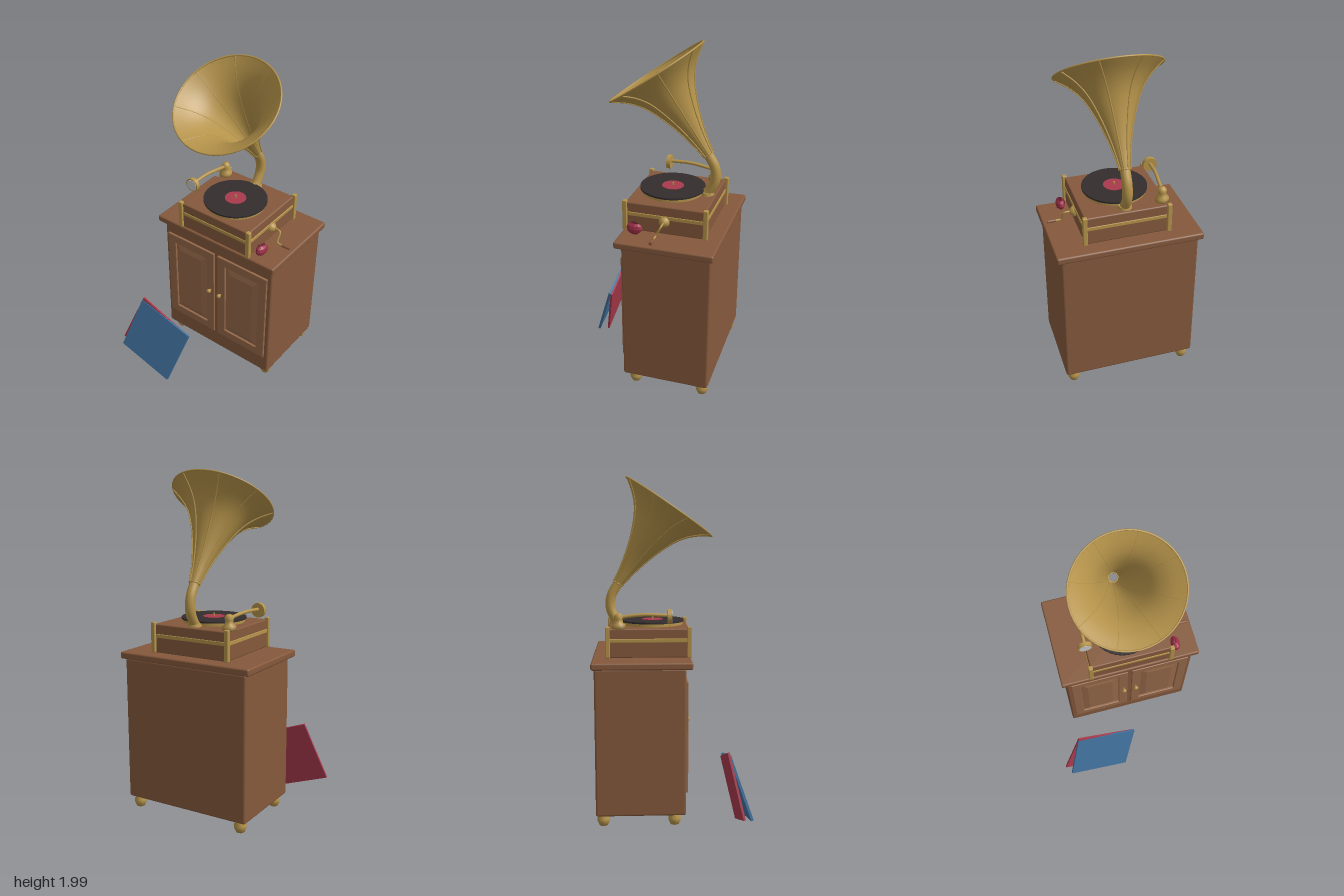
import * as THREE from 'three';
import { RoundedBoxGeometry } from 'three/addons/geometries/RoundedBoxGeometry.js';

const mat = (color, extra = {}) => new THREE.MeshStandardMaterial({ color, ...extra });
const V = (x, y, z) => new THREE.Vector3(x, y, z);
const CX = 0.05; // centre line of the cabinet

export function createModel() {
  const root = new THREE.Group();
  const wood = mat(0x85593c), doorWood = mat(0x96694a), gold = mat(0xb5934a);
  const brass = mat(0xb5934a, { side: THREE.DoubleSide });
  const black = mat(0x332d2e), red = mat(0xa83a4c), blue = mat(0x41709c), silver = mat(0xdddddd);
  const rose = mat(0x9c3048, { flatShading: true, side: THREE.DoubleSide });

  const add = (name, geo, material, x = 0, y = 0, z = 0, parent = root) => {
    const m = new THREE.Mesh(geo, material);
    m.name = name;
    m.position.set(x, y, z);
    parent.add(m);
    return m;
  };
  // box given by its minimum and maximum corners
  const box = (name, a, b, material, r = 0.008) => {
    const s = b.map((v, i) => v - a[i]), c = b.map((v, i) => (v + a[i]) / 2);
    return add(name, new RoundedBoxGeometry(s[0], s[1], s[2], 2, r), material, ...c);
  };
  const lathe = (pts, n = 24) => new THREE.LatheGeometry(pts.map(p => new THREE.Vector2(...p)), n);
  const tube = (pts, r, n = 24, sides = 12) =>
    new THREE.TubeGeometry(new THREE.CatmullRomCurve3(pts), n, r, sides);
  const rect = (P, w, h) => {
    const p = new P();
    p.moveTo(-w / 2, -h / 2); p.lineTo(w / 2, -h / 2); p.lineTo(w / 2, h / 2); p.lineTo(-w / 2, h / 2);
    p.closePath();
    return p;
  };

  // Cabinet
  box('cabinetBody', [-0.34, 0.12, -0.426], [0.44, 0.955, 0.077], wood, 0.012);
  box('cabinetTop', [-0.367, 0.952, -0.442], [0.465, 0.992, 0.112], wood, 0.01);
  const foot = lathe([[0, 0], [0.024, 0], [0.034, 0.022], [0.036, 0.04], [0.028, 0.056], [0.03, 0.066], [0, 0.066]]);
  for (const x of [-0.29, 0.39]) for (const z of [0.015, -0.385]) add('foot', foot, gold, x, 0.057, z);

  // Doors with frame, raised panel and knob
  for (const s of [-1, 1]) {
    const door = new THREE.Group();
    door.name = s < 0 ? 'rightDoor' : 'leftDoor';
    door.position.set(CX + s * 0.188, 0.56, 0);
    const frame = rect(THREE.Shape, 0.342, 0.62);
    frame.holes.push(rect(THREE.Path, 0.246, 0.524));
    add('doorFrame', new THREE.ExtrudeGeometry(frame, {
      depth: 0.016, bevelThickness: 0.004, bevelSize: 0.004, bevelSegments: 2
    }), doorWood, 0, 0, 0.07, door);
    add('doorPanel', new THREE.ExtrudeGeometry(rect(THREE.Shape, 0.155, 0.43), {
      depth: 0.005, bevelThickness: 0.012, bevelSize: 0.043, bevelSegments: 1
    }), doorWood, 0, 0, 0.072, door);
    const knob = add('doorKnob', lathe([[0, 0], [0.006, 0], [0.006, 0.012], [0.013, 0.018], [0.014, 0.026], [0.009, 0.032], [0, 0.034]], 16),
      gold, -s * 0.15, 0.027, 0.086, door);
    knob.rotation.x = Math.PI / 2;
    root.add(door);
  }

  // Player case with brass band and corner posts
  box('playerCase', [-0.188, 0.99, -0.352], [0.288, 1.155, 0.102], wood, 0.008);
  box('caseBand', [-0.192, 1.077, -0.356], [0.292, 1.099, 0.106], gold, 0.003);
  for (const x of [-0.188, 0.289]) for (const z of [-0.355, 0.103])
    box('cornerPost', [x - 0.013, 0.992, z - 0.013], [x + 0.013, 1.167, z + 0.013], gold, 0.005);

  // Turntable and record
  const disc = (name, r, y0, y1, m) =>
    add(name, new THREE.CylinderGeometry(r, r, y1 - y0, 48), m, CX, (y0 + y1) / 2, -0.1);
  disc('platter', 0.178, 1.15, 1.172, gold);
  disc('record', 0.185, 1.172, 1.182, black);
  disc('recordLabel', 0.062, 1.18, 1.184, red);
  disc('spindle', 0.006, 1.17, 1.2, gold);

  // Tone arm and sound box
  add('toneArmPivot', lathe([[0, 0], [0.038, 0], [0.038, 0.025], [0.024, 0.034], [0.022, 0.055], [0.026, 0.07], [0.016, 0.086], [0, 0.09]]),
    gold, -0.165, 1.152, -0.292);
  add('toneArm', tube([V(-0.165, 1.215, -0.292), V(-0.172, 1.226, -0.22), V(-0.184, 1.233, -0.13), V(-0.19, 1.229, -0.015)], 0.01),
    gold);
  const soundBox = new THREE.Group();
  soundBox.name = 'soundBox';
  soundBox.position.set(-0.19, 1.224, -0.008);
  soundBox.rotation.x = Math.PI / 2;
  add('soundBoxShell', new THREE.CylinderGeometry(0.041, 0.041, 0.024, 28), gold, 0, 0, 0, soundBox);
  add('diaphragm', new THREE.CylinderGeometry(0.034, 0.034, 0.004, 28), silver, 0, 0.012, 0, soundBox);
  add('needle', new THREE.CylinderGeometry(0.003, 0.001, 0.02, 8), gold, 0, 0, 0.046, soundBox).rotation.x = Math.PI / 2;
  root.add(soundBox);

  // Horn elbow
  add('hornElbow', tube([V(CX, 1.15, -0.285), V(CX, 1.185, -0.315), V(CX, 1.25, -0.344), V(CX, 1.32, -0.338), V(CX, 1.4, -0.294)], 0.028, 32, 20), gold);
  add('elbowCollar', new THREE.CylinderGeometry(0.036, 0.04, 0.02, 24), gold, CX, 1.162, -0.3);

  // Flared horn with eight seams and a rolled rim
  const horn = new THREE.Group();
  horn.name = 'horn';
  horn.position.set(CX, 1.39, -0.3);
  horn.rotation.x = 0.599;
  const curve = new THREE.SplineCurve([[0.028, 0], [0.05, 0.12], [0.092, 0.26], [0.15, 0.39], [0.215, 0.47], [0.296, 0.53]]
    .map(p => new THREE.Vector2(...p)));
  const profile = curve.getPoints(24);
  add('hornBell', new THREE.LatheGeometry(profile, 48), brass, 0, 0, 0, horn);
  add('hornRim', new THREE.TorusGeometry(0.296, 0.005, 8, 48), gold, 0, 0.53, 0, horn).rotation.x = Math.PI / 2;
  add('hornRing', new THREE.TorusGeometry(0.028, 0.005, 8, 24), gold, 0, 0.002, 0, horn).rotation.x = Math.PI / 2;
  const seam = tube(profile.map(p => V(p.x + 0.002, p.y - 0.002, 0)), 0.004, 32, 6);
  for (let i = 0; i < 8; i++)
    add('hornSeam', seam, gold, 0, 0, 0, horn).rotation.y = (i + 0.5) * Math.PI / 4;
  root.add(horn);

  // Winding crank
  const hub = add('crankHub', lathe([[0, 0], [0.03, 0], [0.03, 0.012], [0.02, 0.022], [0.012, 0.03], [0, 0.032]]), gold, 0.287, 1.067, -0.124);
  hub.rotation.z = -Math.PI / 2;
  add('crankArm', tube([V(0.3, 1.067, -0.124), V(0.342, 1.067, -0.124), V(0.352, 1.058, -0.12), V(0.354, 1.012, -0.095), V(0.362, 1.003, -0.092), V(0.4, 1.002, -0.092)], 0.006, 40, 8), gold);
  add('crankHandle', new THREE.CylinderGeometry(0.009, 0.009, 0.05, 16), wood, 0.415, 1.002, -0.092).rotation.z = Math.PI / 2;

  // Rose resting beside the case: nested faceted petals
  const flower = new THREE.Group();
  flower.name = 'rose';
  flower.position.set(0.334, 1.027, 0.03);
  const petal = new THREE.SphereGeometry(1, 7, 4, 0, Math.PI * 1.2, 0.5, 2.1);
  for (let i = 0; i < 5; i++) {
    const p = add('petal', petal, rose, 0, 0, 0, flower), k = 1 - i * 0.15;
    p.scale.set(0.028 * k, 0.037 * k, 0.05 * k);
    p.rotation.y = i % 2 ? Math.PI : 0;
  }
  root.add(flower);

  // Record sleeves leaning in front: centre, edge along the top, edge going down
  const sleeve = (name, c, across, down, t, m) => {
    const u = V(...across), d = V(...down);
    const w = u.length(), h = d.length();
    u.normalize();
    const n = d.clone().normalize().cross(u).normalize();
    const mesh = add(name, new THREE.BoxGeometry(w, h, t), m, ...c);
    mesh.quaternion.setFromRotationMatrix(new THREE.Matrix4().makeBasis(u, n.clone().cross(u), n));
  };
  sleeve('blueSleeve', [-0.207, 0.246, 0.377], [0.37, -0.095, 0], [-0.083, -0.345, 0.118], 0.014, blue);
  sleeve('redSleeve', [-0.227, 0.246, 0.35], [0.354, -0.127, 0], [-0.126, -0.347, 0.078], 0.012, red);

  return root;
}
